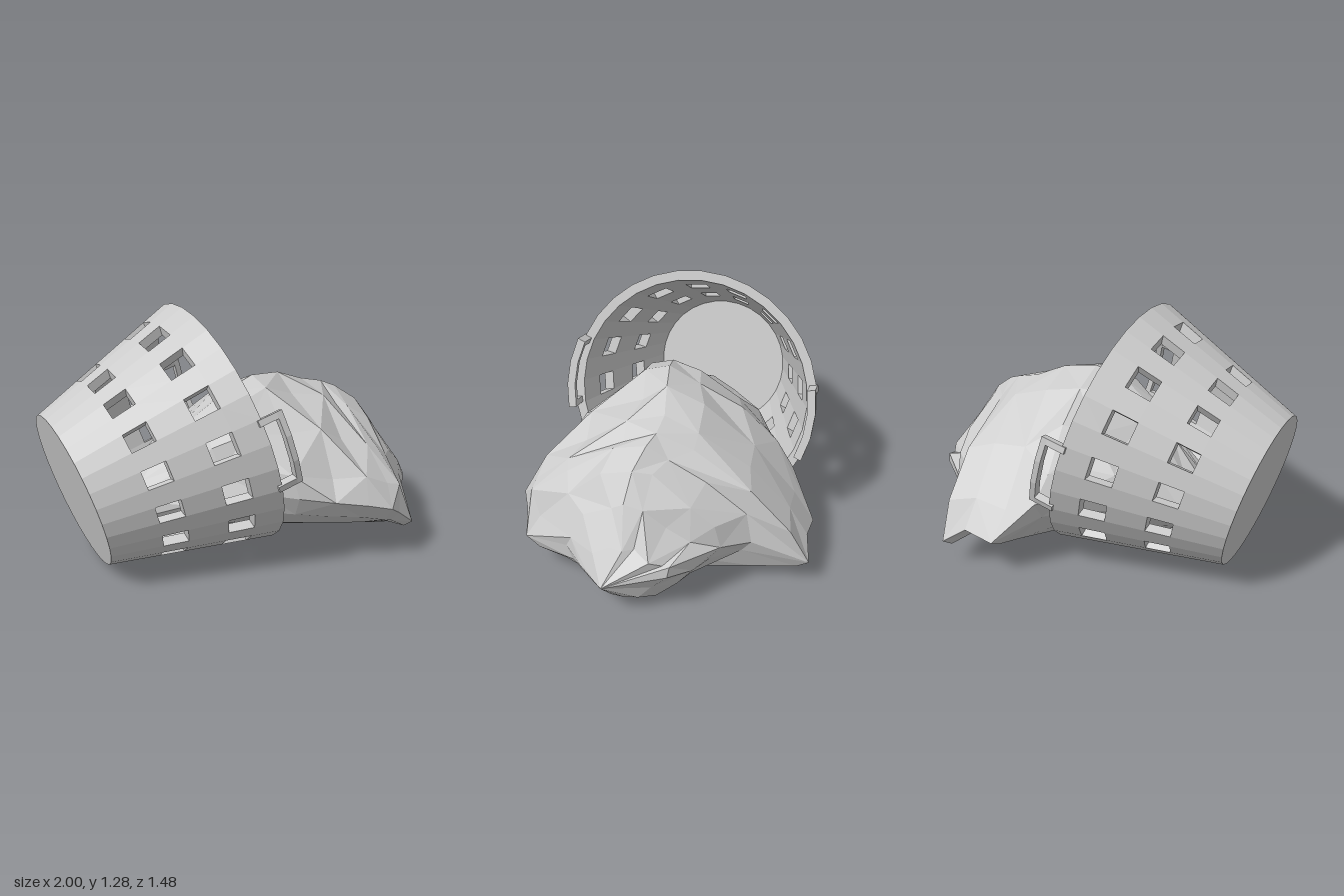
import * as THREE from 'three';

const SIDES = 32, STEP = (Math.PI * 2) / SIDES, HEIGHT = 0.82, WALL = 0.05;
const material = () => new THREE.MeshStandardMaterial({ color: 0xcccccc, flatShading: true });

// Point around the basket axis (local y); angle 0 is the upper side, growing toward +z
const polar = (r, a, h) => [-r * Math.cos(a), h, r * Math.sin(a)];
const radius = (h) => 0.41 + (0.25 * h) / HEIGHT;
const outer = (a, h) => polar(radius(h), a, h);
const inner = (a, h) => polar(radius(h) - WALL, a, h);

function quad(out, a, b, c, d) {
  out.push(...a, ...b, ...c, ...a, ...c, ...d);
}

function meshFrom(positions, name) {
  const geometry = new THREE.BufferGeometry();
  geometry.setAttribute('position', new THREE.Float32BufferAttribute(positions, 3));
  geometry.computeVertexNormals();
  const mesh = new THREE.Mesh(geometry, material());
  mesh.name = name;
  return mesh;
}

// Tapered wall with two rows of windows, one in every other facet
function basketWall() {
  const out = [];
  const bands = [0, 0.245, 0.365, 0.555, 0.68, HEIGHT];
  for (let i = 0; i < SIDES; i++) {
    const a = i * STEP, b = a + STEP;
    for (let k = 0; k < bands.length - 1; k++) {
      const l = bands[k], h = bands[k + 1];
      if (k % 2 === 1 && i % 2 === 0) {
        // Reveals of the window
        quad(out, outer(a, l), outer(b, l), inner(b, l), inner(a, l));
        quad(out, inner(a, h), inner(b, h), outer(b, h), outer(a, h));
        quad(out, outer(a, l), inner(a, l), inner(a, h), outer(a, h));
        quad(out, outer(b, h), inner(b, h), inner(b, l), outer(b, l));
      } else {
        quad(out, outer(a, l), outer(b, l), outer(b, h), outer(a, h));
        quad(out, inner(a, h), inner(b, h), inner(b, l), inner(a, l));
      }
    }
    // Lower edge
    quad(out, inner(a, 0), inner(b, 0), outer(b, 0), outer(a, 0));
    // Rim: flat outer ring, then a bevel down to the inside
    const mid = (t) => polar(radius(HEIGHT) - 0.033, t, HEIGHT);
    const low = (t) => polar(radius(HEIGHT) - WALL, t, HEIGHT);
    quad(out, outer(a, HEIGHT), outer(b, HEIGHT), mid(b), mid(a));
    quad(out, mid(a), mid(b), low(b), low(a));
  }
  return meshFrom(out, 'basketWall');
}

// Solid block following the rim's curve
function block(out, a, b, l, h, r0, r1) {
  quad(out, polar(r1, a, l), polar(r1, b, l), polar(r1, b, h), polar(r1, a, h));
  quad(out, polar(r0, a, h), polar(r0, b, h), polar(r0, b, l), polar(r0, a, l));
  quad(out, polar(r1, a, h), polar(r1, b, h), polar(r0, b, h), polar(r0, a, h));
  quad(out, polar(r0, a, l), polar(r0, b, l), polar(r1, b, l), polar(r1, a, l));
  quad(out, polar(r0, a, l), polar(r1, a, l), polar(r1, a, h), polar(r0, a, h));
  quad(out, polar(r0, b, h), polar(r1, b, h), polar(r1, b, l), polar(r0, b, l));
}

// Staple-shaped handle: two legs and a curved bar
function handle(firstFacet, name) {
  const out = [], a = firstFacet * STEP;
  const span = 3 * STEP, leg = 0.05, r0 = 0.625, r1 = 0.667;
  block(out, a, a + leg, 0.8, 0.9, r0, r1);
  block(out, a + span - leg, a + span, 0.8, 0.9, r0, r1);
  for (let i = 0; i < 3; i++) block(out, a + i * STEP, a + (i + 1) * STEP, 0.9, 0.93, r0, r1);
  return meshFrom(out, name);
}

// Lumpy heap spilling from the basket, lofted through cross-sections along x
function heap() {
  let seed = 11;
  const jitter = (amount) => {
    seed = (seed * 16807) % 2147483647;
    return (seed / 2147483647 - 0.5) * 2 * amount;
  };
  // x, bottom y, bottom z, top y, top z, right z, right y, left z, left y
  const sections = [
    [-0.54, 0.15, 0, 0.46, 0, -0.2, 0.3, 0.2, 0.3],
    [-0.4, 0.11, 0, 0.6, 0.04, -0.31, 0.36, 0.3, 0.36],
    [-0.24, 0.09, 0, 0.74, 0.08, -0.38, 0.4, 0.4, 0.4],
    [-0.08, 0.06, 0, 0.85, 0.1, -0.46, 0.42, 0.49, 0.43],
    [0.07, 0.035, 0, 0.9, 0.08, -0.58, 0.38, 0.58, 0.41],
    [0.24, 0.035, 0, 0.88, 0.05, -0.72, 0.19, 0.65, 0.38],
    [0.4, 0.03, 0, 0.81, 0.02, -0.71, 0.22, 0.7, 0.35],
    [0.52, 0.03, 0, 0.78, 0.03, -0.74, 0.14, 0.735, 0.32],
    [0.59, 0.025, 0.03, 0.75, 0.06, -0.46, 0.27, 0.7, 0.27],
    [0.7, 0.015, 0.06, 0.67, 0.1, -0.33, 0.3, 0.67, 0.18],
    [0.79, 0, 0.06, 0.54, 0.12, -0.24, 0.3, 0.42, 0.24],
    [0.9, 0.07, 0.1, 0.35, 0.1, -0.13, 0.3, 0.31, 0.22],
  ];
  const Q = 4, N = Q * 4;
  const loops = sections.map(([x, yb, zb, yt, zt, zr, yr, zl, yl]) => {
    // Left, top, right, bottom
    const key = [[yl, zl], [yt, zt], [yr, zr], [yb, zb]];
    return Array.from({ length: N }, (_, i) => {
      const q = Math.floor(i / Q), t = ((i % Q) / Q) * (Math.PI / 2);
      const [y0, z0] = key[q], [y1, z1] = key[(q + 1) % 4];
      const power = q < 2 ? 1.45 : 1.3;
      const c = Math.cos(t) ** power, s = Math.sin(t) ** power;
      // Each quarter bulges from one key point to the next
      const side = q % 2 === 0;
      const y = side ? y0 + (y1 - y0) * s : y1 + (y0 - y1) * c;
      const z = side ? z1 + (z0 - z1) * c : z0 + (z1 - z0) * s;
      const free = i % Q ? (q < 2 ? 0.03 : 0.012) : 0;
      return [x + jitter(free), Math.max(0, y + jitter(free)), z + jitter(free)];
    });
  });
  const out = [];
  for (let k = 0; k < loops.length - 1; k++) {
    for (let i = 0; i < N; i++) {
      const j = (i + 1) % N, A = loops[k], B = loops[k + 1];
      // Alternate the diagonal for irregular facets
      if ((i + k) % 2) quad(out, A[i], B[i], B[j], A[j]);
      else quad(out, B[i], B[j], A[j], A[i]);
    }
  }
  // Pointed ends
  const last = loops[loops.length - 1];
  for (let i = 0; i < N; i++) {
    const j = (i + 1) % N;
    out.push(...loops[0][i], ...loops[0][j], -0.6, 0.3, 0);
    out.push(...last[j], ...last[i], 1, 0.19, 0.18);
  }
  return meshFrom(out, 'heap');
}

export function createModel() {
  const model = new THREE.Group();
  model.name = 'tippedBasket';

  const basket = new THREE.Group();
  basket.name = 'basket';
  const floor = new THREE.Mesh(new THREE.CylinderGeometry(0.4, 0.4, 0.03, SIDES), material());
  floor.name = 'basketFloor';
  floor.position.y = 0.015;
  basket.add(basketWall(), floor, handle(6, 'leftHandle'), handle(-10, 'rightHandle'));

  // Lay the basket on its side, mouth toward +x
  basket.position.set(-0.89, 0.425, 0);
  basket.rotation.z = -Math.atan2(0.963, 0.268);

  model.add(basket, heap());
  return model;
}
